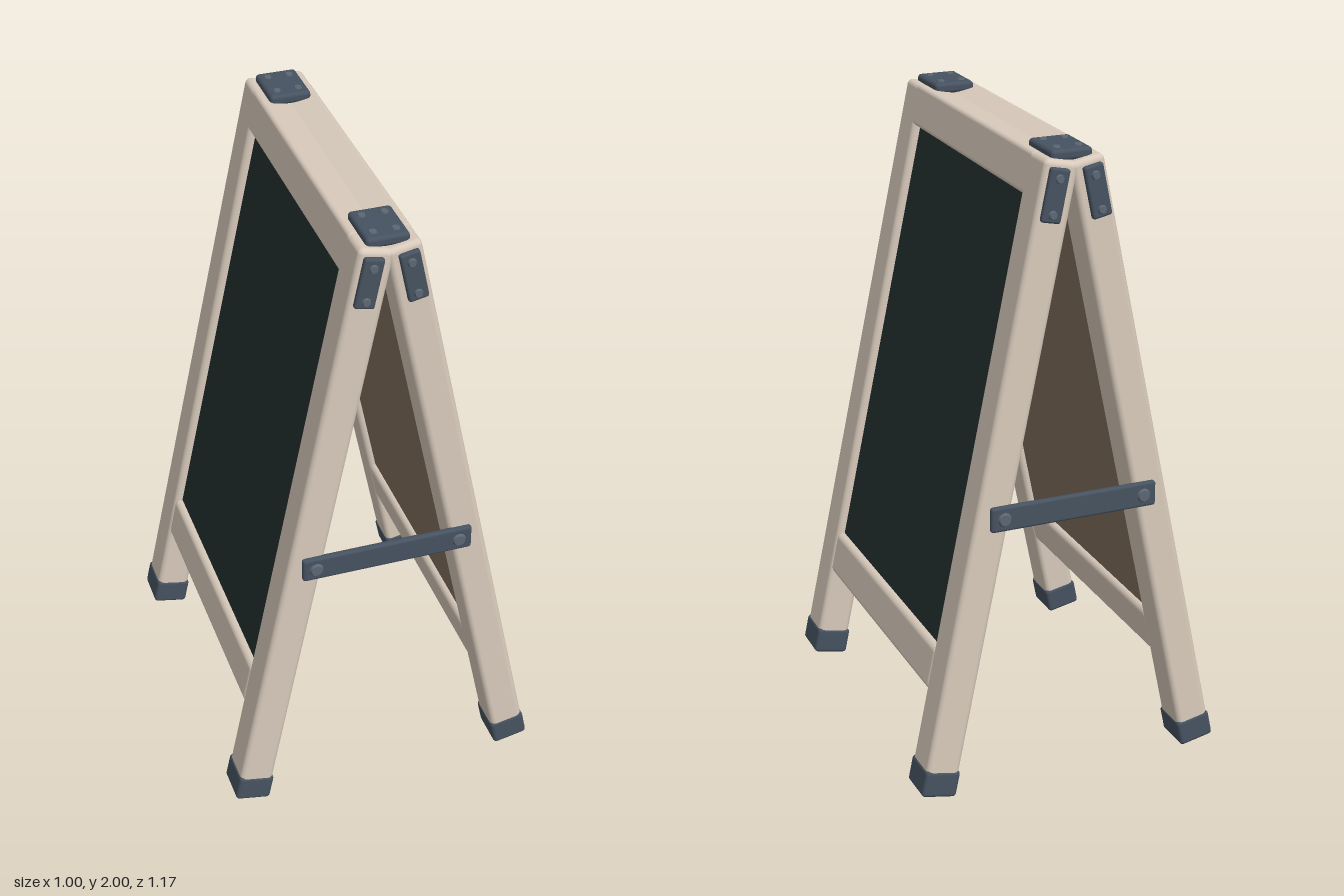
import * as THREE from 'three';
import { RoundedBoxGeometry } from 'three/addons/geometries/RoundedBoxGeometry.js';

const mat = (name, color) => {
  const m = new THREE.MeshStandardMaterial({ color });
  m.name = name;
  return m;
};

export function createModel() {
  const wood = mat('pale wood', 0xd8cabb);
  const slate = mat('chalkboard green', 0x23302f);
  const backing = mat('board backing brown', 0x83715f);
  const metal = mat('blue grey metal', 0x465260);
  const bolt = mat('bolt grey', 0x5c6773);

  const add = (parent, name, geometry, material, x, y, z) => {
    const mesh = new THREE.Mesh(geometry, material);
    mesh.name = name;
    mesh.position.set(x, y, z);
    parent.add(mesh);
    return mesh;
  };
  const rbox = (w, h, d, r) => new RoundedBoxGeometry(w, h, d, 3, r);
  const boltGeo = new THREE.CylinderGeometry(0.011, 0.015, 0.01, 12);

  // One leaning half, built upright with its outer face towards +x
  function boardHalf(name) {
    const half = new THREE.Group();
    half.name = name;
    const lean = new THREE.Group();
    lean.position.set(0.445, 0.012, 0);
    lean.rotation.z = 0.205;
    half.add(lean);

    for (const s of [-1, 1]) {
      // Legs splay slightly towards the ground
      const leg = new THREE.Group();
      leg.name = 'leg';
      leg.position.z = s * 0.512;
      leg.rotation.x = -s * 0.0125;
      lean.add(leg);
      add(leg, 'legPost', rbox(0.108, 1.95, 0.124, 0.018), wood, 0, 1.025, 0);
      add(leg, 'footCap', rbox(0.114, 0.088, 0.13, 0.012), metal, 0, 0.044, 0);

      // Hinge strap on the end face of the leg
      add(leg, 'hingeStrap', rbox(0.062, 0.16, 0.022, 0.008), metal, 0.008, 1.9, s * 0.066);
      for (const y of [1.845, 1.95]) {
        add(leg, 'hingeBolt', boltGeo, bolt, 0.008, y, s * 0.079).rotation.x = s * Math.PI / 2;
      }
    }

    // Rails between the legs
    add(lean, 'topRail', rbox(0.108, 0.13, 0.92, 0.014), wood, 0, 1.935, 0);
    add(lean, 'bottomRail', rbox(0.104, 0.145, 0.92, 0.02), wood, 0, 0.377, 0);

    // Writing surface outside, bare backing inside
    add(lean, 'chalkboard', new THREE.BoxGeometry(0.03, 1.46, 0.89), slate, 0.015, 1.16, 0);
    add(lean, 'boardBacking', new THREE.BoxGeometry(0.03, 1.46, 0.89), backing, -0.015, 1.16, 0);
    return half;
  }

  const model = new THREE.Group();
  model.name = 'sandwichBoard';
  model.add(boardHalf('leftBoard'));
  const right = boardHalf('rightBoard');
  right.rotation.y = Math.PI;
  model.add(right);

  for (const s of [-1, 1]) {
    // Plates joining the two halves over the crest
    add(model, 'crestPlate', rbox(0.13, 0.034, 0.168, 0.012), metal, 0, 1.979, s * 0.443);
    for (const x of [-0.034, 0.034]) {
      for (const z of [0.395, 0.49]) add(model, 'crestBolt', boltGeo, bolt, x, 1.995, s * z);
    }

    // Spreader bars holding the legs apart
    add(model, 'spreaderBar', rbox(0.54, 0.08, 0.022, 0.009), metal, 0, 0.91, s * 0.566);
    for (const x of [-0.228, 0.228]) {
      const b = add(model, 'spreaderBolt', boltGeo, bolt, x, 0.91, s * 0.579);
      b.rotation.x = s * Math.PI / 2;
      b.scale.set(1.6, 1, 1.6);
    }
  }
  return model;
}
